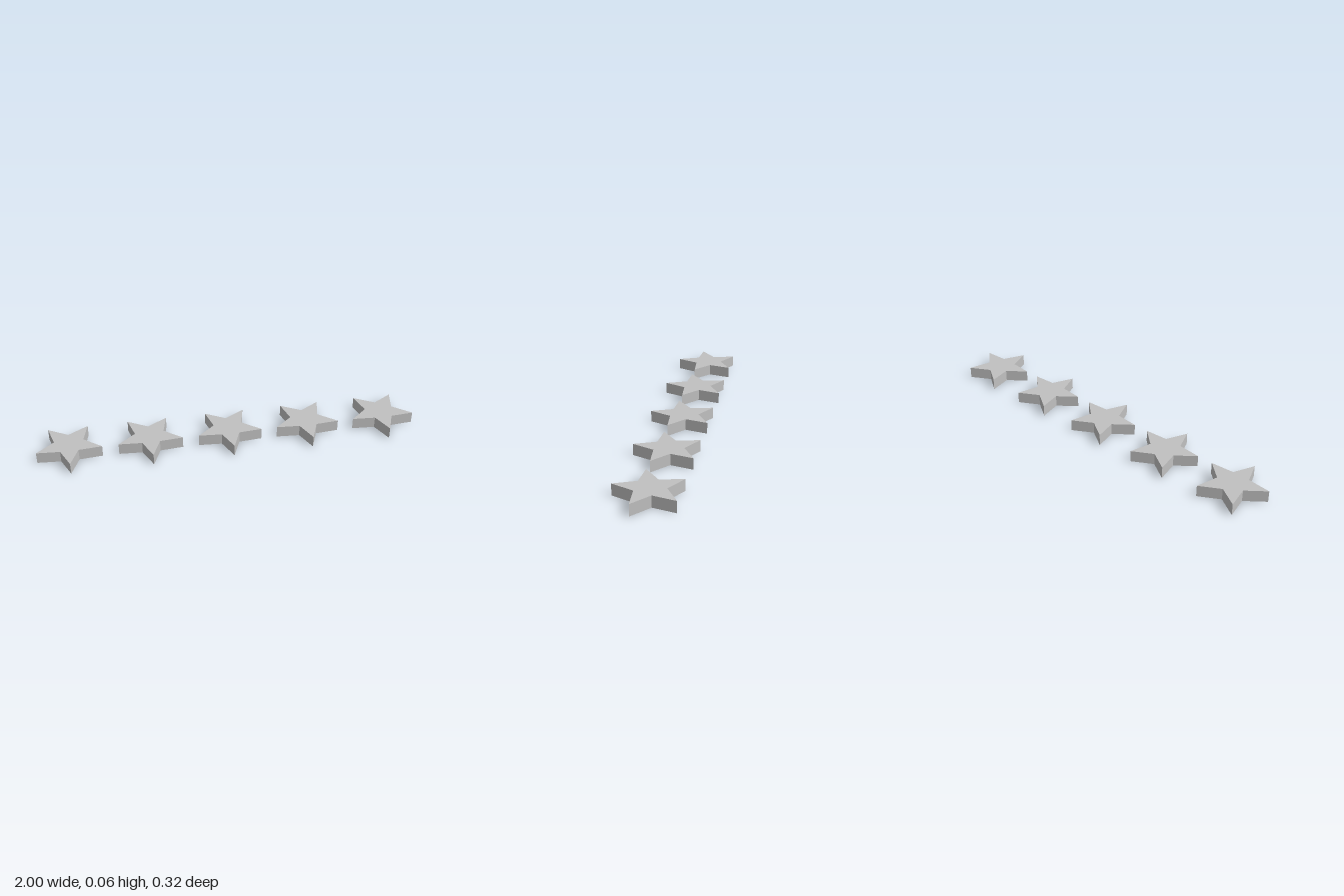
import * as THREE from 'three';

// Row of five identical flat star prisms, one point facing the front
const COUNT = 5, OUTER = 0.1752, INNER = 0.0787, THICKNESS = 0.06;
const HALF_WIDTH = OUTER * Math.sin(Math.PI * 0.4);
const SPACING = (2 - 2 * HALF_WIDTH) / (COUNT - 1);
const CENTRE_Z = -OUTER * (1 - Math.cos(Math.PI / 5)) / 2;

function starGeometry() {
  const points = [];
  for (let i = 0; i < 10; i++) {
    const r = i % 2 ? INNER : OUTER, a = -Math.PI / 2 + i * Math.PI / 5;
    points.push(new THREE.Vector2(r * Math.cos(a), r * Math.sin(a)));
  }
  const geometry = new THREE.ExtrudeGeometry(new THREE.Shape(points), { depth: THICKNESS, bevelEnabled: false });
  // Lay flat: the point at shape -y turns to +z
  return geometry.rotateX(-Math.PI / 2);
}

export function createModel() {
  const grey = new THREE.MeshStandardMaterial({ color: 0xc0c0c0 });
  grey.name = 'light grey';
  const geometry = starGeometry();
  const group = new THREE.Group();
  group.name = 'starRow';
  for (let i = 0; i < COUNT; i++) {
    const star = new THREE.Mesh(geometry, grey);
    star.name = `star${i + 1}`;
    star.position.set((i - (COUNT - 1) / 2) * SPACING, 0, CENTRE_Z);
    group.add(star);
  }
  return group;
}
